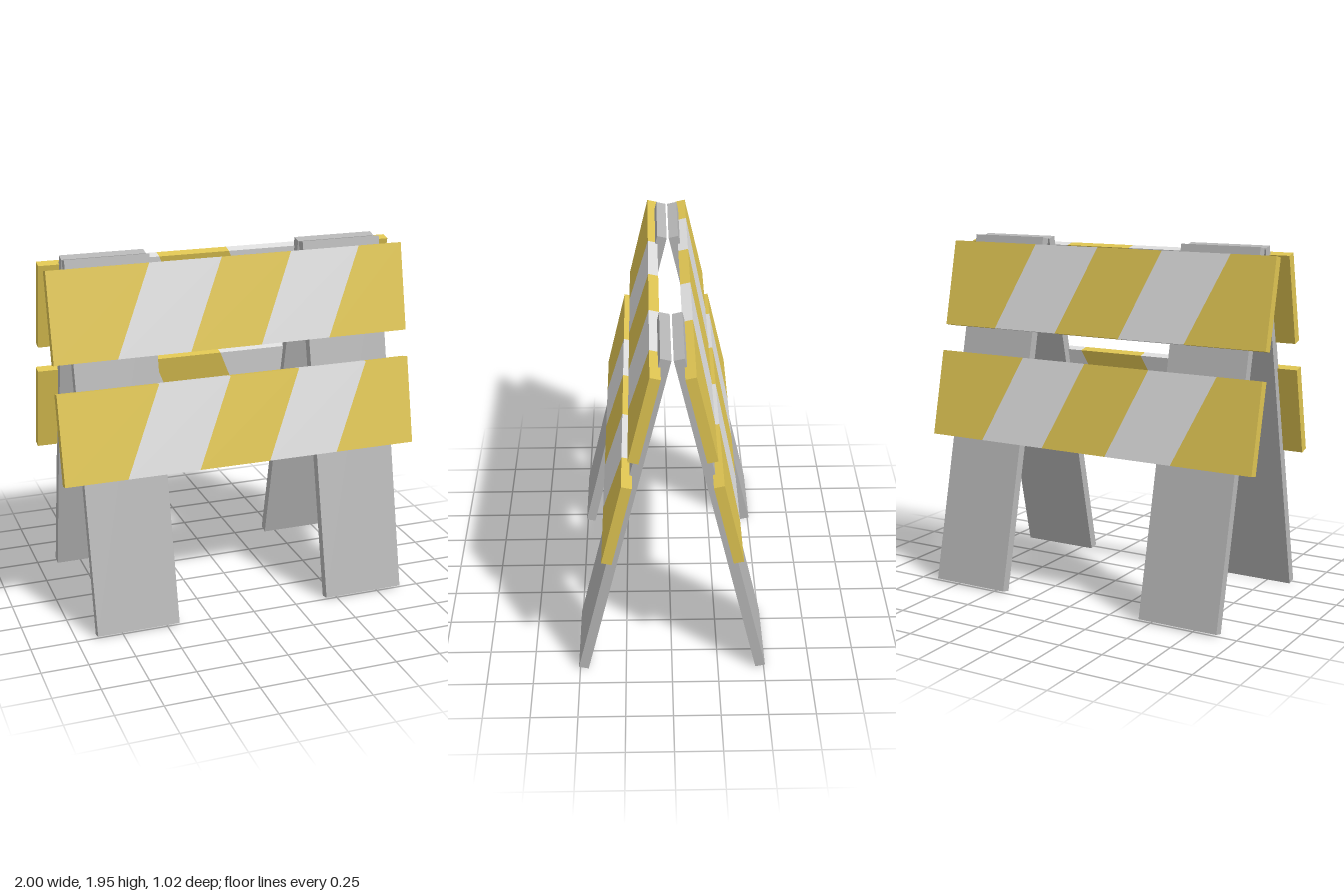
import * as THREE from 'three';

const yellow = new THREE.MeshStandardMaterial({ color: 0xdec452 });
yellow.name = 'yellow';
const white = new THREE.MeshStandardMaterial({ color: 0xdedede });
white.name = 'white';
const gray = new THREE.MeshStandardMaterial({ color: 0xb6b6b6 });
gray.name = 'gray';

const LEAN = 0.2276;            // tilt of each panel from vertical
const LEG = { w: 0.455, h: 1.994, d: 0.054 };
const BOARD = { h: 0.485, d: 0.054, z: 0.042 };
// Stripe boundaries along the bottom and top edges of a board
const BOTTOM = [-1, -0.66, -0.26, 0.14, 0.535, 1];
const TOP = [-1, -0.45, -0.05, 0.345, 0.745, 1];

// One board made of slanted blocks in alternating colours
function createBoard(name, y) {
  const board = new THREE.Group();
  board.name = name;
  for (let i = 0; i < BOTTOM.length - 1; i++) {
    const shape = new THREE.Shape([
      new THREE.Vector2(BOTTOM[i], 0),
      new THREE.Vector2(BOTTOM[i + 1], 0),
      new THREE.Vector2(TOP[i + 1], BOARD.h),
      new THREE.Vector2(TOP[i], BOARD.h),
    ]);
    const geometry = new THREE.ExtrudeGeometry(shape, { depth: BOARD.d, bevelEnabled: false });
    const stripe = new THREE.Mesh(geometry, i % 2 ? white : yellow);
    stripe.name = i % 2 ? 'whiteStripe' : 'yellowStripe';
    board.add(stripe);
  }
  board.position.set(0, y, BOARD.z);
  return board;
}

// One leaning side: two flat legs carrying two boards
function createPanel(name) {
  const panel = new THREE.Group();
  panel.name = name;
  for (const side of [-1, 1]) {
    const leg = new THREE.Mesh(new THREE.BoxGeometry(LEG.w, LEG.h, LEG.d), gray);
    leg.name = side > 0 ? 'leftLeg' : 'rightLeg';
    leg.position.set(side * 0.661, LEG.h / 2, LEG.d / 2);
    panel.add(leg);
  }
  panel.add(createBoard('upperBoard', 1.4625), createBoard('lowerBoard', 0.827));
  panel.position.z = 0.455;
  panel.rotation.x = -LEAN;
  return panel;
}

export function createModel() {
  const model = new THREE.Group();
  model.name = 'barricade';
  model.add(createPanel('frontPanel'));

  // The back is the front turned half way round
  const back = new THREE.Group();
  back.name = 'backSide';
  back.add(createPanel('backPanel'));
  back.rotation.y = Math.PI;
  model.add(back);
  return model;
}
